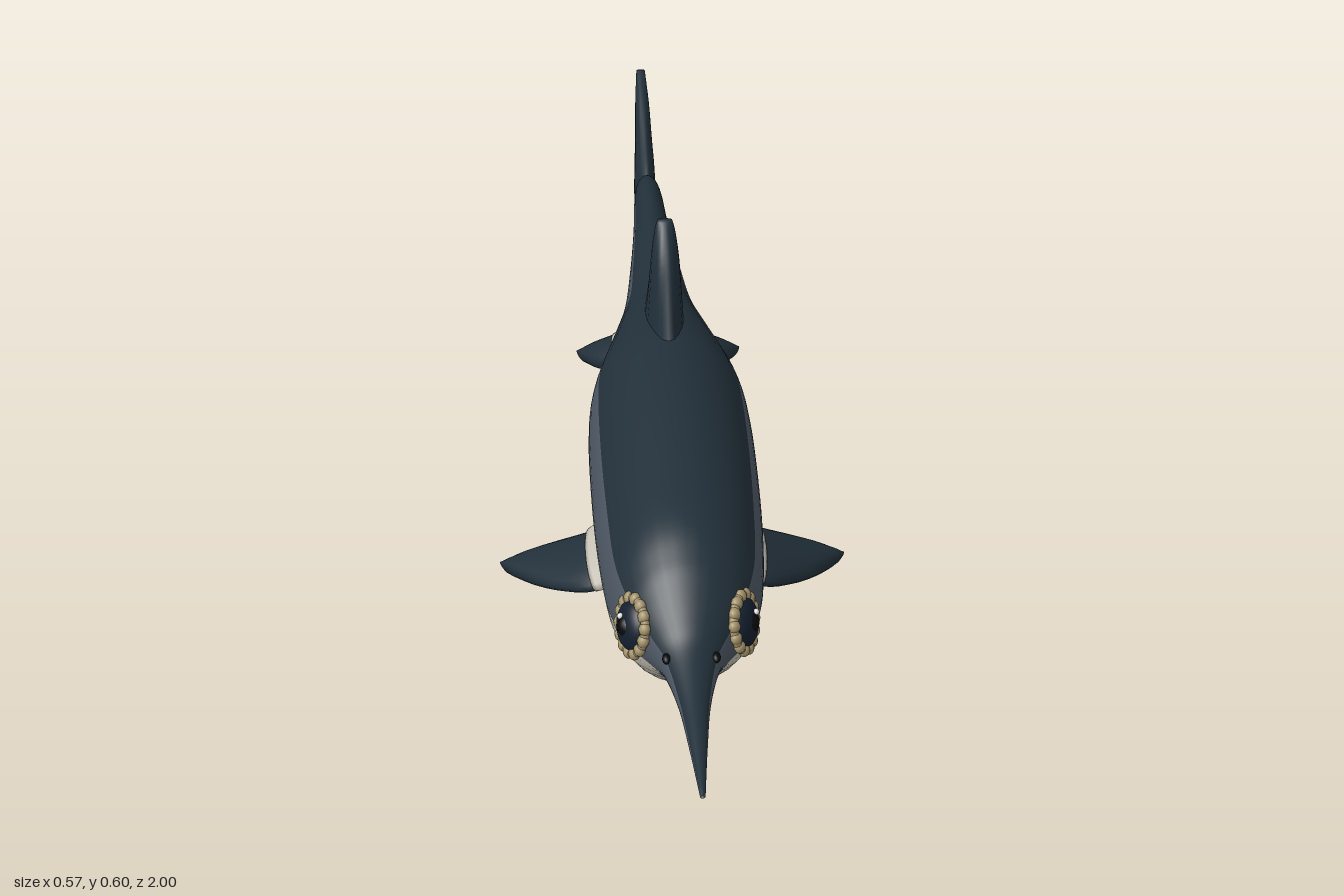
import * as THREE from 'three';

const mat = (name, color, side = THREE.FrontSide) => {
  const m = new THREE.MeshStandardMaterial({ color, side });
  m.name = name;
  return m;
};
const V = (x, y, z) => new THREE.Vector3(x, y, z);

// Skins rings of equal length; pick(j) gives the material index of column j
function skin(rings, pick = () => 0, bands = 1) {
  const n = rings[0].length, pos = [], lists = Array.from({ length: bands }, () => []);
  rings.forEach(r => r.forEach(p => pos.push(p.x, p.y, p.z)));
  for (let i = 0; i < rings.length - 1; i++) {
    for (let j = 0; j < n; j++) {
      const a = i * n + j, b = i * n + (j + 1) % n;
      lists[pick(j)].push(a, b, b + n, a, b + n, a + n);
    }
  }
  // end caps
  [0, rings.length - 1].forEach((i, end) => {
    const c = rings[i].reduce((s, p) => s.add(p), V(0, 0, 0)).divideScalar(n);
    const k = pos.length / 3;
    pos.push(c.x, c.y, c.z);
    for (let j = 0; j < n; j++) {
      const a = i * n + j, b = i * n + (j + 1) % n;
      lists[pick(j)].push(...(end ? [k, a, b] : [k, b, a]));
    }
  });
  const g = new THREE.BufferGeometry();
  g.setAttribute('position', new THREE.Float32BufferAttribute(pos, 3));
  g.setIndex(lists.flat());
  let start = 0;
  lists.forEach((l, m) => { g.addGroup(start, l.length, m); start += l.length; });
  g.computeVertexNormals();
  return g;
}

const smooth = pts => new THREE.CatmullRomCurve3(pts, false, 'catmullrom', 0.5);

// Fin from stations of [leading point, trailing point, half thickness]
function finGeometry(stations) {
  const lead = smooth(stations.map(s => s[0])), trail = smooth(stations.map(s => s[1]));
  const half = smooth(stations.map(s => V(s[2], 0, 0)));
  const mid = s => s[0].clone().add(s[1]).multiplyScalar(0.5);
  const span = mid(stations[stations.length - 1]).sub(mid(stations[0]));
  const m = stations[Math.floor(stations.length / 2)];
  const normal = span.cross(m[0].clone().sub(m[1])).normalize();
  const rings = [], steps = (stations.length - 1) * 4;
  for (let i = 0; i <= steps; i++) {
    const l = lead.getPoint(i / steps), t = trail.getPoint(i / steps), h = half.getPoint(i / steps).x;
    const c = l.clone().add(t).multiplyScalar(0.5), d = l.sub(t).multiplyScalar(0.5);
    rings.push(Array.from({ length: 20 }, (_, j) => {
      const a = j / 20 * Math.PI * 2;
      return c.clone().addScaledVector(d, Math.cos(a)).addScaledVector(normal, h * Math.sin(a));
    }));
  }
  return skin(rings);
}

export function createModel() {
  const dark = mat('dark back', 0x22303a), grey = mat('grey flank', 0x4c5661);
  const cream = mat('cream belly', 0xc9c4b8), bone = mat('eye ring tan', 0xa3926a);
  const navy = mat('eye navy', 0x141f2e), black = mat('pupil black', 0x07090c), white = mat('eye glint', 0xf2f2f2);
  const model = new THREE.Group();
  const add = (name, geometry, material, parent = model) => {
    const mesh = new THREE.Mesh(geometry, material);
    mesh.name = name;
    parent.add(mesh);
    return mesh;
  };

  // Body stations: z, top, bottom, half width, back/flank line, flank/belly line
  const body = [
    [-0.81, 0.275, 0.225, 0.010, 0.235, 0.225],
    [-0.76, 0.295, 0.215, 0.017, 0.255, 0.216],
    [-0.72, 0.319, 0.231, 0.023, 0.283, 0.238],
    [-0.66, 0.334, 0.240, 0.027, 0.304, 0.251],
    [-0.55, 0.344, 0.234, 0.033, 0.315, 0.248],
    [-0.40, 0.355, 0.222, 0.046, 0.324, 0.250],
    [-0.27, 0.367, 0.203, 0.062, 0.334, 0.254],
    [-0.15, 0.400, 0.172, 0.088, 0.346, 0.268],
    [0.00, 0.438, 0.131, 0.124, 0.358, 0.282],
    [0.10, 0.446, 0.118, 0.134, 0.362, 0.284],
    [0.25, 0.446, 0.119, 0.135, 0.362, 0.283],
    [0.40, 0.438, 0.126, 0.131, 0.358, 0.278],
    [0.53, 0.428, 0.140, 0.121, 0.350, 0.272],
    [0.60, 0.402, 0.167, 0.104, 0.338, 0.268],
    [0.64, 0.375, 0.197, 0.086, 0.326, 0.264],
    [0.68, 0.344, 0.228, 0.061, 0.311, 0.261],
    [0.72, 0.321, 0.246, 0.042, 0.301, 0.261],
    [0.80, 0.303, 0.257, 0.024, 0.289, 0.266],
    [0.90, 0.291, 0.266, 0.013, 0.283, 0.270],
    [1.00, 0.280, 0.272, 0.004, 0.278, 0.274],
  ];
  const outline = smooth(body.map(s => V(s[0], s[1], s[2])));
  const paint = smooth(body.map(s => V(s[3], s[4], s[5])));
  const K = 6, steps = 114, rings = [];
  for (let i = 0; i <= steps; i++) {
    const o = outline.getPoint(i / steps), p = paint.getPoint(i / steps);
    const cy = (o.y + o.z) / 2, r = (o.y - o.z) / 2;
    const angle = y => Math.acos(THREE.MathUtils.clamp((y - cy) / r, -0.99, 0.99));
    const stops = [0, angle(p.y), angle(p.z), Math.PI], half = [];
    for (let b = 0; b < 3; b++) for (let k = 0; k < K; k++) half.push(THREE.MathUtils.lerp(stops[b], stops[b + 1], k / K));
    const all = [...half, Math.PI, ...half.slice(1).reverse().map(t => -t)];
    rings.push(all.map(t => V(-p.x * Math.sin(t), cy + r * Math.cos(t), o.x)));
  }
  const band = j => Math.floor((j < 3 * K ? j : 6 * K - 1 - j) / K);
  add('body', skin(rings, band, 3), [dark, grey, cream]);

  // Upright fins: lead z, lead y, trail z, trail y, half thickness
  const upright = rows => finGeometry(rows.map(([a, b, c, d, h]) => [V(0, b, a), V(0, d, c), h]));
  add('dorsalFin', upright([
    [0.10, 0.41, -0.30, 0.335, 0.036], [0.06, 0.44, -0.235, 0.375, 0.032], [0.016, 0.50, -0.15, 0.455, 0.027],
    [-0.02, 0.55, -0.11, 0.52, 0.023], [-0.055, 0.585, -0.09, 0.572, 0.017], [-0.07, 0.598, -0.08, 0.597, 0.012],
  ]), dark);
  add('tailFin', upright([
    [-0.988, 0.397, -1.0, 0.394, 0.008], [-0.906, 0.37, -0.957, 0.345, 0.013], [-0.826, 0.33, -0.928, 0.29, 0.016],
    [-0.755, 0.288, -0.915, 0.245, 0.019], [-0.745, 0.232, -0.91, 0.2, 0.02], [-0.775, 0.165, -0.918, 0.15, 0.018],
    [-0.826, 0.097, -0.938, 0.095, 0.017], [-0.906, 0.03, -0.955, 0.04, 0.013], [-0.957, 0.002, -0.966, 0.002, 0.01],
  ]), dark);

  for (const [side, s] of [['left', 1], ['right', -1]]) {
    // Paired fins: x, lead z, trail z, half thickness, sloping down and out
    const paired = (rows, x0, y0, slope) => finGeometry(rows.map(([x, a, b, h]) => {
      const y = y0 - slope * (x - x0);
      return [V(s * x, y, a), V(s * x, y, b), h];
    }));
    add(side + 'FrontFlipper', paired([
      [0.09, 0.36, 0.22, 0.022], [0.14, 0.36, 0.205, 0.021], [0.19, 0.315, 0.185, 0.019],
      [0.23, 0.265, 0.172, 0.018], [0.262, 0.215, 0.169, 0.016], [0.279, 0.183, 0.172, 0.013],
    ], 0.12, 0.182, 0.6), dark);
    add(side + 'FrontFlipperRoot', paired([
      [0.08, 0.385, 0.195, 0.04], [0.11, 0.375, 0.198, 0.03], [0.135, 0.367, 0.2, 0.022],
    ], 0.12, 0.184, 0.6), cream);
    add(side + 'RearFlipper', paired([
      [0.04, -0.20, -0.29, 0.02], [0.075, -0.215, -0.308, 0.02], [0.11, -0.25, -0.322, 0.018], [0.137, -0.305, -0.325, 0.012],
    ], 0.06, 0.237, 0.68), dark);
    add(side + 'RearFlipperRoot', paired([
      [0.035, -0.185, -0.305, 0.03], [0.055, -0.195, -0.305, 0.025], [0.072, -0.207, -0.31, 0.021],
    ], 0.06, 0.237, 0.68), cream);

    // Eye with a ring of bony plates
    const eye = new THREE.Group();
    eye.name = side + 'Eye';
    eye.position.set(s * 0.084, 0.304, 0.633);
    eye.lookAt(V(s * 0.984, 0.534, 0.983));
    model.add(eye);
    add('eyeball', new THREE.SphereGeometry(0.039, 28, 16), navy, eye).scale.z = 0.5;
    add('pupil', new THREE.SphereGeometry(0.02, 20, 12), black, eye).position.z = 0.004;
    const glint = add('glint', new THREE.SphereGeometry(0.005, 10, 8), white, eye);
    glint.position.set(-s * -0.01, 0.012, 0.019);
    add('eyeRing', new THREE.TorusGeometry(0.042, 0.007, 10, 42), bone, eye);
    for (let i = 0; i < 14; i++) {
      const a = i / 14 * Math.PI * 2;
      const plate = add('eyeRingPlate', new THREE.SphereGeometry(0.0105, 12, 8), bone, eye);
      plate.position.set(Math.cos(a) * 0.042, Math.sin(a) * 0.042, 0.001);
      plate.scale.z = 0.85;
    }

    // Nostril
    const nostril = add(side + 'Nostril', new THREE.SphereGeometry(0.007, 10, 8), black);
    nostril.position.set(s * 0.037, 0.304, 0.717);
    nostril.scale.z = 1.5;
  }
  return model;
}
